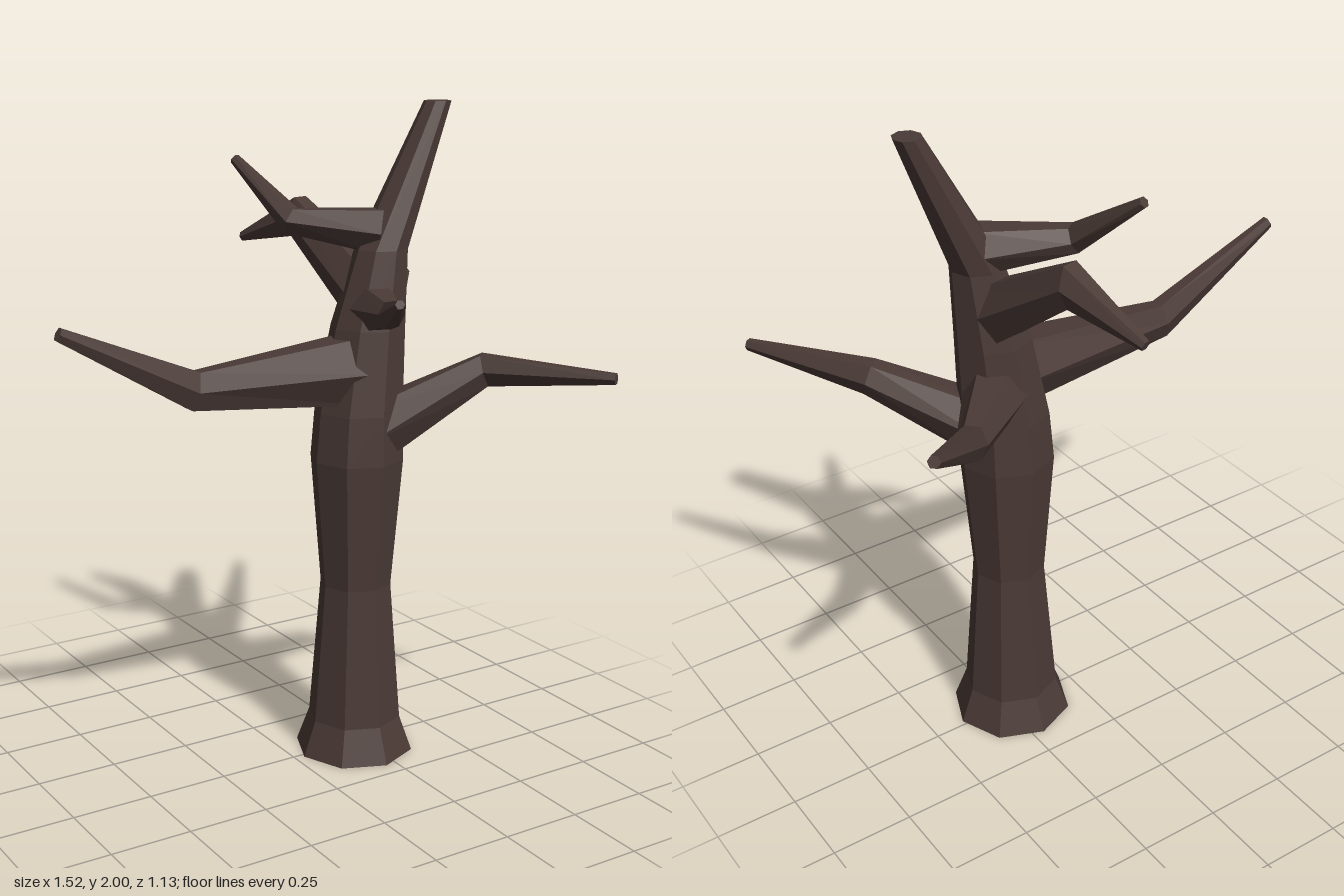
import * as THREE from 'three';

const bark = new THREE.MeshStandardMaterial({ color: 0x4a3a36, flatShading: true, roughness: 1 });

// Lofts a closed, capped limb through stations [x, y, z, radius, widthScale].
// Level rings stay horizontal; otherwise each ring faces along the limb.
function limb(name, stations, sides, level = false) {
  const pts = stations.map(s => new THREE.Vector3(s[0], s[1], s[2]));
  const last = pts.length - 1;
  const up = new THREE.Vector3(0, 1, 0);
  const position = [], index = [];
  pts.forEach((p, i) => {
    const dir = new THREE.Vector3();
    if (i > 0) dir.add(p.clone().sub(pts[i - 1]).normalize());
    if (i < last) dir.add(pts[i + 1].clone().sub(p).normalize());
    dir.normalize();
    const u = level ? new THREE.Vector3(0, 0, 1) : up.clone().cross(dir).normalize();
    const v = level ? new THREE.Vector3(1, 0, 0) : dir.clone().cross(u);
    const [, , , r, width = 1] = stations[i];
    for (let k = 0; k < sides; k++) {
      const a = (k / sides) * Math.PI * 2;
      const q = p.clone().addScaledVector(u, r * width * Math.cos(a)).addScaledVector(v, r * Math.sin(a));
      position.push(q.x, q.y, q.z);
    }
  });
  for (let i = 0; i < last; i++) {
    for (let k = 0; k < sides; k++) {
      const a = i * sides + k, b = i * sides + (k + 1) % sides;
      index.push(a, b, b + sides, a, b + sides, a + sides);
    }
  }
  // end caps
  for (let k = 1; k < sides - 1; k++) {
    const t = last * sides;
    index.push(0, k + 1, k, t, t + k, t + k + 1);
  }
  const geometry = new THREE.BufferGeometry();
  geometry.setAttribute('position', new THREE.Float32BufferAttribute(position, 3));
  geometry.setIndex(index);
  const flat = geometry.toNonIndexed();
  flat.computeVertexNormals();
  const mesh = new THREE.Mesh(flat, bark);
  mesh.name = name;
  return mesh;
}

export function createModel() {
  const tree = new THREE.Group();
  tree.name = 'bareTree';

  // flared trunk running up into the leaning main leader
  tree.add(limb('trunk', [
    [0.215, 0, 0.015, 0.185],
    [0.215, 0.11, 0.015, 0.145],
    [0.215, 0.55, 0.015, 0.11],
    [0.215, 0.95, 0.015, 0.143],
    [0.22, 1.1, 0.015, 0.135],
    [0.25, 1.35, 0.015, 0.113],
    [0.29, 1.58, 0.022, 0.08],
    [0.49, 2, 0.015, 0.041],
  ], 8, true));

  // bent branches: base, elbow, tip
  const branches = {
    longRightBranch: [[0.22, 1.225, 0.02, 0.12, 0.85], [-0.34, 1.225, 0.012, 0.064, 0.65], [-0.748, 1.432, 0.015, 0.021, 0.8]],
    backLeftBranch: [[0.25, 1.2, -0.01, 0.1], [0.485, 1.215, -0.245, 0.056, 0.8], [0.75, 1.395, -0.505, 0.018]],
    frontLeftBranch: [[0.23, 1.02, 0.04, 0.1], [0.54, 1.22, 0.215, 0.055, 0.9], [0.75, 1.233, 0.558, 0.018]],
    backBranch: [[0.27, 1.42, 0.02, 0.1, 0.85], [0.215, 1.64, -0.32, 0.07, 0.7], [0.155, 1.552, -0.56, 0.016]],
    upperBackBranch: [[0.29, 1.63, 0.02, 0.075], [0.07, 1.66, -0.13, 0.043], [0.002, 1.825, -0.34, 0.016]],
    frontTwig: [[0.25, 1.41, 0.04, 0.085], [0.19, 1.425, 0.225, 0.04], [0.11, 1.485, 0.378, 0.014]],
  };
  for (const [name, stations] of Object.entries(branches)) tree.add(limb(name, stations, 6));

  return tree;
}
